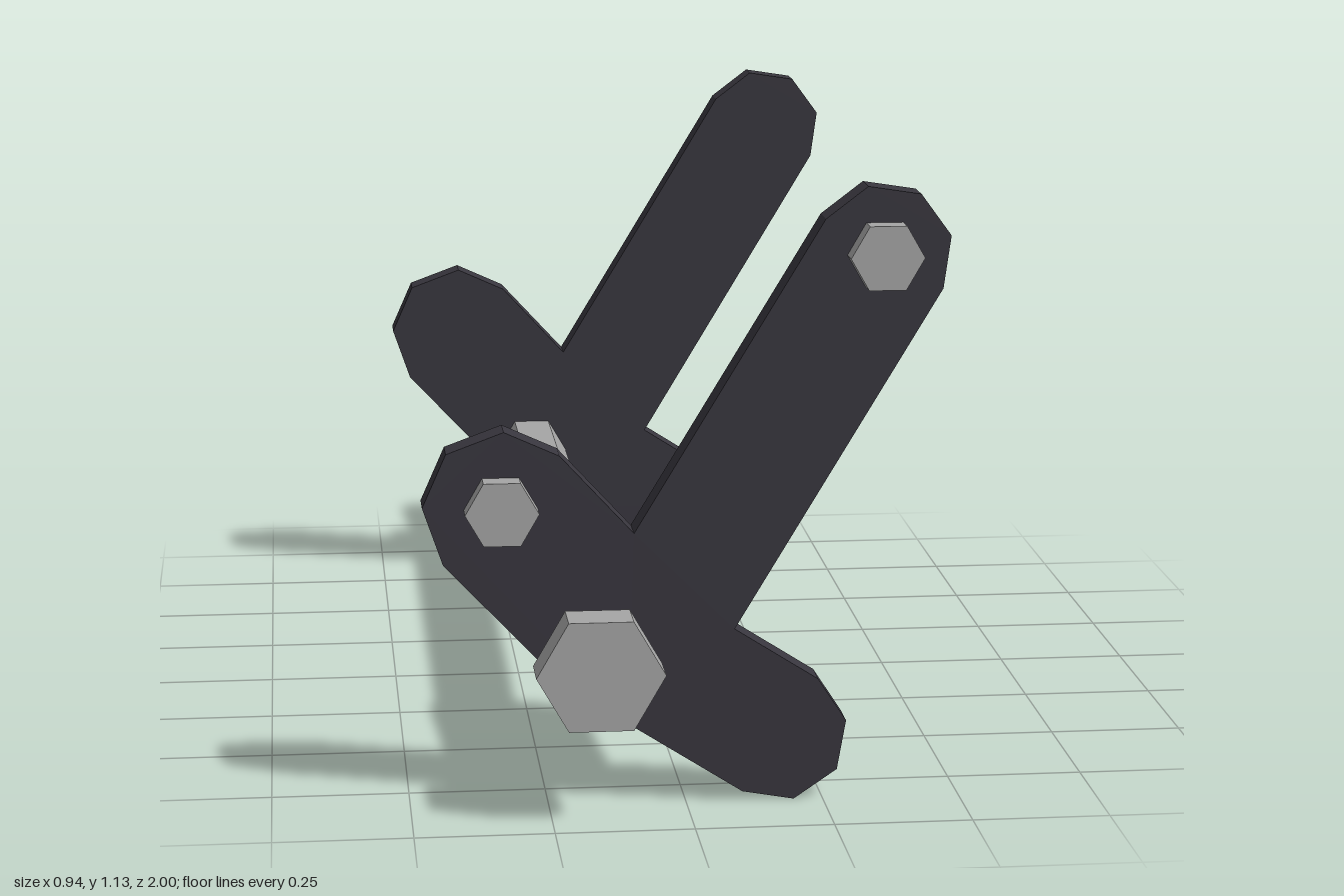
import * as THREE from 'three';

const steel = new THREE.MeshStandardMaterial({ color: 0xa6a6a6, flatShading: true });
steel.name = 'steel grey';
const dark = new THREE.MeshStandardMaterial({ color: 0x38363e, flatShading: true });
dark.name = 'dark plate';

// Three-armed bracket outline, clockwise from the upper inner corner
const OUTLINE = [
  [-0.095, 0.51], [0.245, 1.073], [0.32, 1.13], [0.415, 1.115], [0.47, 1.04], [0.457, 0.945],
  [0.087, 0.328], [0.24, 0.23], [0.292, 0.15], [0.276, 0.058], [0.197, 0.004], [0.103, 0.021],
  [-0.105, 0.155], [-0.185, 0.19],
  [-0.437, 0.46], [-0.473, 0.565], [-0.43, 0.662], [-0.327, 0.7], [-0.228, 0.655],
];

// Hexagonal bar along z, with corners pointing left and right
function hexBar(name, x, y, radius, z0, z1) {
  const geo = new THREE.CylinderGeometry(radius, radius, z1 - z0, 6);
  geo.rotateY(Math.PI / 2).rotateX(Math.PI / 2);
  const mesh = new THREE.Mesh(geo, steel);
  mesh.name = name;
  mesh.position.set(x, y, (z0 + z1) / 2);
  return mesh;
}

// One bracket plate with its bolts; side is +1 at the front, -1 at the back
function bracket(side) {
  const group = new THREE.Group();
  group.name = side > 0 ? 'frontBracket' : 'backBracket';
  const shape = new THREE.Shape(OUTLINE.map(([x, y]) => new THREE.Vector2(x, y)));
  const geo = new THREE.ExtrudeGeometry(shape, { depth: 0.063, bevelEnabled: false });
  geo.translate(0, 0, side > 0 ? 0.787 : -0.85);
  const plate = new THREE.Mesh(geo, dark);
  plate.name = 'plate';
  group.add(plate);

  const bolt = (name, x, y, r, a, b) =>
    group.add(hexBar(name, x, y, r, Math.min(side * a, side * b), Math.max(side * a, side * b)));
  bolt('upperBolt', 0.35, 1.008, 0.066, 0.84, 0.893);
  bolt('lowerBolt', -0.333, 0.56, 0.066, 0.84, 0.893);
  bolt('axleNut', -0.167, 0.289, 0.115, 0.918, 1);
  return group;
}

export function createModel() {
  const model = new THREE.Group();
  model.name = 'bracketAssembly';
  model.add(bracket(1), bracket(-1));
  model.add(hexBar('axle', -0.167, 0.289, 0.075, -0.93, 0.93));
  return model;
}
